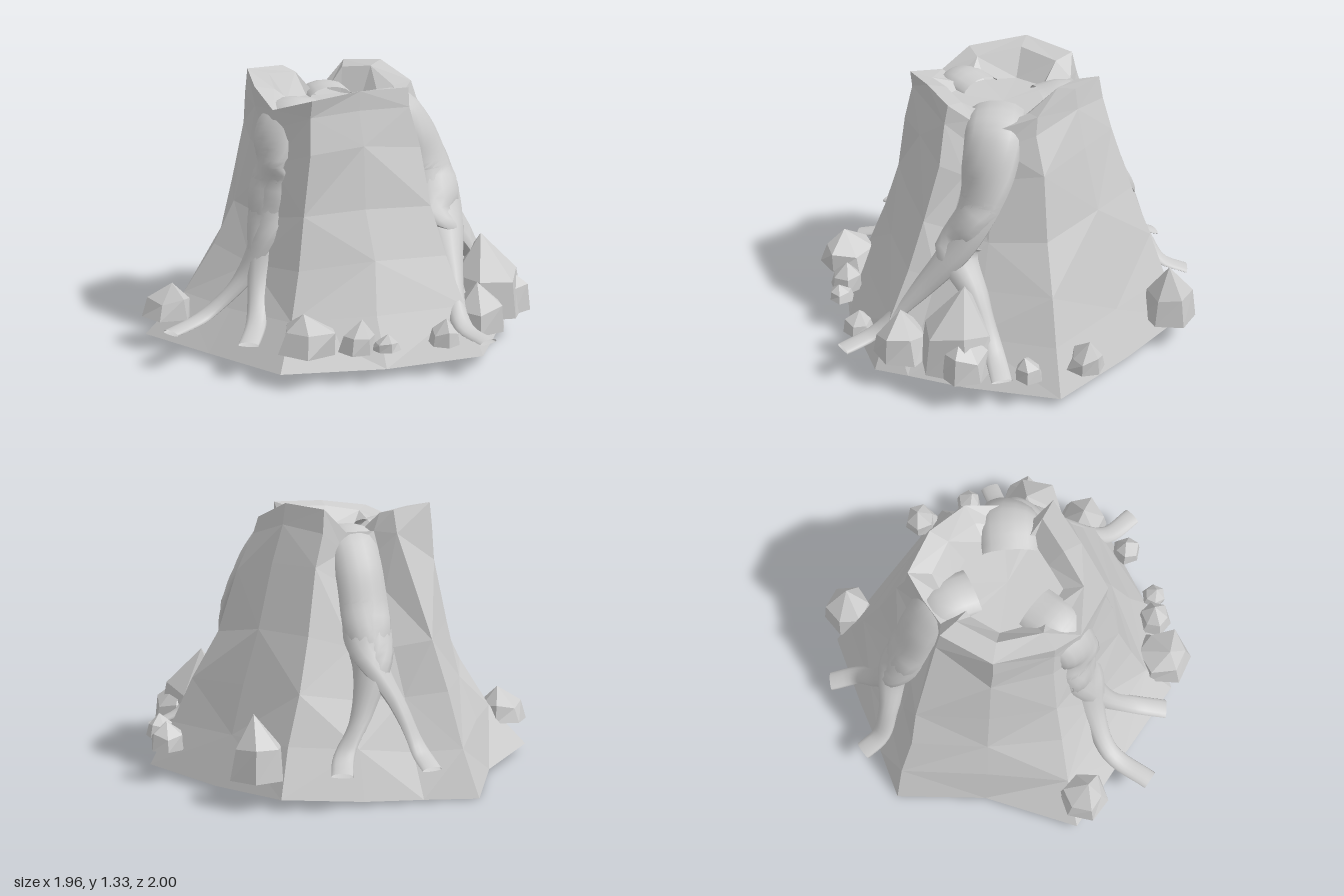
import * as THREE from 'three';

const rockMat = new THREE.MeshStandardMaterial({ color: 0xcccccc, flatShading: true, side: THREE.DoubleSide });
const lavaMat = new THREE.MeshStandardMaterial({ color: 0xcccccc, side: THREE.DoubleSide });

// repeatable noise in -1..1
function noise(a, b, c = 0) {
  const s = Math.sin(a * 12.99 + b * 78.23 + c * 37.72) * 43758.55;
  return (s - Math.floor(s)) * 2 - 1;
}

// ridges and valleys of the slope, clockwise from the back: foot x y z, rim x y z, steepening
const COLUMNS = [
  [0.02, 0, -1, 0.08, 1.3, -0.48, 1.0],
  [0.25, 0.01, -0.87, 0.14, 1.2, -0.41, 1.1],
  [0.5, 0.02, -0.74, 0.28, 1.2, -0.37, 1.25],
  [0.83, 0.05, -0.55, 0.39, 1.31, -0.34, 1.25],
  [0.86, 0.03, -0.1, 0.44, 1.33, -0.12, 1.2],
  [0.88, 0.04, 0.4, 0.42, 1.25, 0.11, 1.15],
  [0.5, 0.04, 0.66, 0.3, 1.19, 0.24, 1.5],
  [0.25, 0.05, 0.8, 0.14, 1.19, 0.27, 1.5],
  [0.1, 0.05, 0.88, 0.1, 1.29, 0.38, 1.35],
  [-0.35, 0.05, 0.67, -0.14, 1.29, 0.29, 1.7],
  [-0.75, 0.05, 0.37, -0.37, 1.26, 0.2, 2.0],
  [-0.78, 0.04, -0.1, -0.4, 1.19, -0.04, 2.4],
  [-0.82, 0.04, -0.54, -0.37, 1.28, -0.2, 2.1],
  [-0.35, 0.02, -0.72, -0.2, 1.32, -0.44, 1.6],
];

// open-bottomed slope that turns over the rim into the crater
function mountain() {
  const n = COLUMNS.length, pos = [], idx = [];
  const levels = [0, 0.18, 0.36, 0.55, 0.78, 0.92, 1];
  levels.forEach((t, l) => COLUMNS.forEach(([bx, by, bz, tx, ty, tz, k], i) => {
    const p = 1 - Math.pow(1 - t, k);
    const j = l > 0 && l < 6 ? 0.015 : 0;
    pos.push(bx + (tx - bx) * p + j * noise(i, l, 1), by + (ty - by) * t + j * noise(i, l, 2),
      bz + (tz - bz) * p + j * noise(i, l, 3));
  }));
  // crater lip and wall
  for (const [s, drop] of [[0.76, 0.02], [0.56, 0.1]]) {
    COLUMNS.forEach(([, , , tx, ty, tz]) => {
      const y = drop > 0.05 ? 1.17 : ty - drop;
      pos.push(0.04 + (tx - 0.04) * s, y, -0.04 + (tz + 0.04) * s);
    });
  }
  const rings = levels.length + 2;
  pos.push(0.04, 1.16, -0.04);
  for (let l = 0; l < rings - 1; l++) for (let i = 0; i < n; i++) {
    const a = l * n + i, b = l * n + (i + 1) % n, c = a + n, d = b + n;
    if ((i + l) % 2) idx.push(a, c, d, a, d, b);
    else idx.push(a, c, b, b, c, d);
  }
  for (let i = 0; i < n; i++) idx.push((rings - 1) * n + i, rings * n, (rings - 1) * n + (i + 1) % n);
  const g = new THREE.BufferGeometry();
  g.setAttribute('position', new THREE.Float32BufferAttribute(pos, 3));
  g.setIndex(idx);
  g.computeVertexNormals();
  return g;
}

// lava ribbon hugging the slope: a low arch that narrows after the fork
function flow(points, width) {
  const curve = new THREE.CatmullRomCurve3(points.map(p => new THREE.Vector3(...p)));
  const seg = 36, sides = 14;
  const g = new THREE.TubeGeometry(curve, seg, 1, sides, false);
  const p = g.attributes.position, out = new THREE.Vector3(), side = new THREE.Vector3();
  for (let r = 0; r <= seg; r++) {
    const t = r / seg, c = curve.getPointAt(t), tan = curve.getTangentAt(t);
    out.set(0, 1, 0).addScaledVector(tan, -tan.y).normalize();
    side.crossVectors(tan, out);
    const w = THREE.MathUtils.lerp(width, 0.05, THREE.MathUtils.smoothstep(t, 0.4, 0.8));
    const h = THREE.MathUtils.lerp(0.55 * width, 0.018, THREE.MathUtils.smoothstep(t, 0.5, 1));
    for (let s = 0; s <= sides; s++) {
      const a = s / sides * Math.PI * 2, up = Math.sin(a);
      const v = c.clone().addScaledVector(side, w * Math.cos(a)).addScaledVector(out, h * (up > 0 ? up : 0.4 * up));
      p.setXYZ(r * (sides + 1) + s, v.x, v.y, v.z);
    }
  }
  g.computeVertexNormals();
  return g;
}

// lava streams: shared trunk from the crater, then the two branch paths
const STREAMS = [
  { name: 'frontLava', width: 0.14,
    trunk: [[0.12, 1.15, 0.08], [0.23, 1.16, 0.2], [0.28, 1.04, 0.28], [0.29, 0.84, 0.35], [0.25, 0.62, 0.46]],
    branches: [[[0.15, 0.4, 0.62], [0.03, 0.2, 0.81], [0, 0.17, 0.99]], [[0.42, 0.42, 0.5], [0.58, 0.24, 0.55], [0.72, 0.17, 0.63]]] },
  { name: 'backLava', width: 0.12,
    trunk: [[0.14, 1.15, -0.18], [0.21, 1.16, -0.32], [0.25, 1.04, -0.42], [0.28, 0.84, -0.5], [0.32, 0.62, -0.59]],
    branches: [[[0.27, 0.4, -0.73], [0.25, 0.23, -0.84], [0.28, 0.17, -0.95]], [[0.43, 0.38, -0.64], [0.56, 0.23, -0.67], [0.66, 0.17, -0.77]]] },
  { name: 'leftLava', width: 0.12,
    trunk: [[-0.14, 1.15, -0.06], [-0.3, 1.16, -0.06], [-0.38, 1.04, -0.05], [-0.4, 0.84, -0.05], [-0.45, 0.6, -0.04]],
    branches: [[[-0.56, 0.36, -0.09], [-0.74, 0.21, -0.16], [-0.98, 0.18, -0.14]], [[-0.56, 0.36, 0.02], [-0.67, 0.22, 0.12], [-0.81, 0.17, 0.22]]] },
];

// faceted boulder: uneven blunt peak on a unit base, open below
function boulder(seed) {
  const g = new THREE.ConeGeometry(1, 1, 6, 2, true);
  const p = g.attributes.position;
  for (let i = 0; i < p.count; i++) {
    const x = p.getX(i), y = p.getY(i), z = p.getZ(i);
    if (Math.hypot(x, z) < 0.01) {
      p.setXYZ(i, 0.25 * noise(seed, 1), y, 0.25 * noise(seed, 2));
      continue;
    }
    const side = (Math.round(Math.atan2(z, x) / (Math.PI / 6)) + 12) % 12;
    const middle = Math.abs(y) < 0.1;
    const k = (middle ? 1.65 : 1) * (1 + 0.12 * noise(seed, side, middle ? 1 : 2));
    p.setXYZ(i, x * k, middle ? 0.1 * noise(seed, side, 5) : y, z * k);
  }
  g.translate(0, 0.5, 0);
  return g;
}

// x, z, radius, foot height, top height
const BOULDERS = [
  [-0.76, -0.42, 0.125, 0.16, 0.33], [0.84, -0.41, 0.13, 0.13, 0.42], [0.89, 0.24, 0.09, 0.15, 0.29],
  [0.75, 0.49, 0.07, 0.15, 0.26], [0.42, 0.63, 0.21, 0.15, 0.54], [0.19, 0.78, 0.14, 0.15, 0.38],
  [-0.1, 0.81, 0.08, 0.15, 0.27], [-0.38, 0.69, 0.065, 0.16, 0.24], [-0.46, 0.59, 0.09, 0.15, 0.3],
  [-0.62, 0.44, 0.15, 0.16, 0.34], [0.52, 0.68, 0.13, 0.15, 0.38],
];

export function createModel() {
  const group = new THREE.Group();
  const add = (parent, name, geo, mat) => {
    const m = new THREE.Mesh(geo, mat);
    m.name = name;
    parent.add(m);
    return m;
  };
  add(group, 'mountain', mountain(), rockMat);

  for (const { name, width, trunk, branches } of STREAMS) {
    const stream = new THREE.Group();
    stream.name = name;
    for (const b of branches) add(stream, 'lavaBranch', flow([...trunk, ...b], width), lavaMat);
    group.add(stream);
  }

  BOULDERS.forEach(([x, z, r, y0, y1], i) => {
    const m = add(group, 'boulder', boulder(i + 1), rockMat);
    m.position.set(x, y0, z);
    m.scale.set(r, y1 - y0, r);
    m.rotation.y = i * 1.3;
  });
  return group;
}
